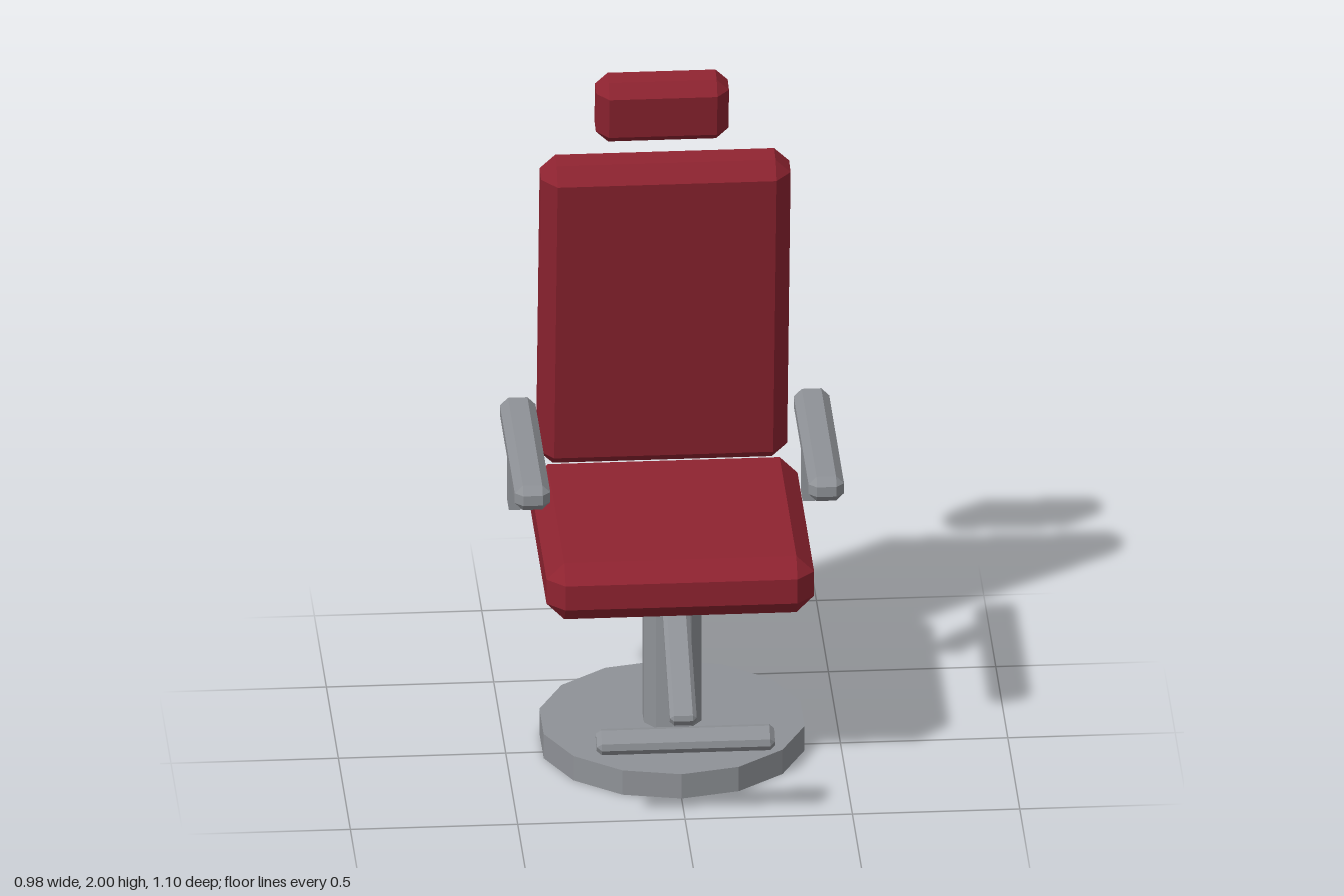
import * as THREE from 'three';
import { ConvexGeometry } from 'three/addons/geometries/ConvexGeometry.js';

// Box with a single flat chamfer along every edge and a triangle at every corner
function chamferBox(w, h, d, c) {
  const points = [];
  for (const sx of [-1, 1]) for (const sy of [-1, 1]) for (const sz of [-1, 1]) {
    const x = w / 2, y = h / 2, z = d / 2;
    points.push(
      new THREE.Vector3(sx * x, sy * (y - c), sz * (z - c)),
      new THREE.Vector3(sx * (x - c), sy * y, sz * (z - c)),
      new THREE.Vector3(sx * (x - c), sy * (y - c), sz * z)
    );
  }
  return new ConvexGeometry(points);
}

export function createModel() {
  const model = new THREE.Group();
  model.name = 'barberChair';

  const leather = new THREE.MeshStandardMaterial({ color: 0x8e2330, flatShading: true });
  leather.name = 'red leather';
  const metal = new THREE.MeshStandardMaterial({ color: 0x8f9297, flatShading: true });
  metal.name = 'grey metal';

  const add = (name, geometry, material, x, y, z, tilt = 0) => {
    const mesh = new THREE.Mesh(geometry, material);
    mesh.name = name;
    mesh.position.set(x, y, z);
    mesh.rotation.x = tilt;
    model.add(mesh);
  };

  const axisZ = -0.045;
  const backTilt = 0.15;
  const legTilt = 0.6;

  // Round base and column
  add('base', new THREE.CylinderGeometry(0.4, 0.4, 0.08, 14), metal, 0, 0.04, axisZ);
  add('column', new THREE.CylinderGeometry(0.09, 0.09, 0.52, 10), metal, 0, 0.33, axisZ);

  // Cushions
  add('seat', chamferBox(0.8, 0.185, 0.8, 0.053), leather, 0, 0.67, axisZ);
  add('backrest', chamferBox(0.746, 1.062, 0.155, 0.046), leather, 0, 1.268, -0.404, backTilt);
  add('headrest', chamferBox(0.396, 0.209, 0.13, 0.037), leather, 0, 1.894, -0.473, backTilt);

  // Armrests with their posts
  for (const [side, s] of [['left', 1], ['right', -1]]) {
    add(side + 'Armrest', chamferBox(0.106, 0.08, 0.666, 0.024), metal, s * 0.439, 0.963, axisZ);
    add(side + 'ArmPost', new THREE.BoxGeometry(0.073, 0.24, 0.068), metal, s * 0.439, 0.82, -0.246);
  }

  // Sloping leg bar and the foot bar in front of it
  add('legBar', chamferBox(0.08, 0.045, 0.5, 0.012), metal, 0, 0.425, 0.225, legTilt);
  add('footBar', chamferBox(0.532, 0.052, 0.078, 0.015), metal, 0, 0.268, 0.512, legTilt);

  return model;
}
